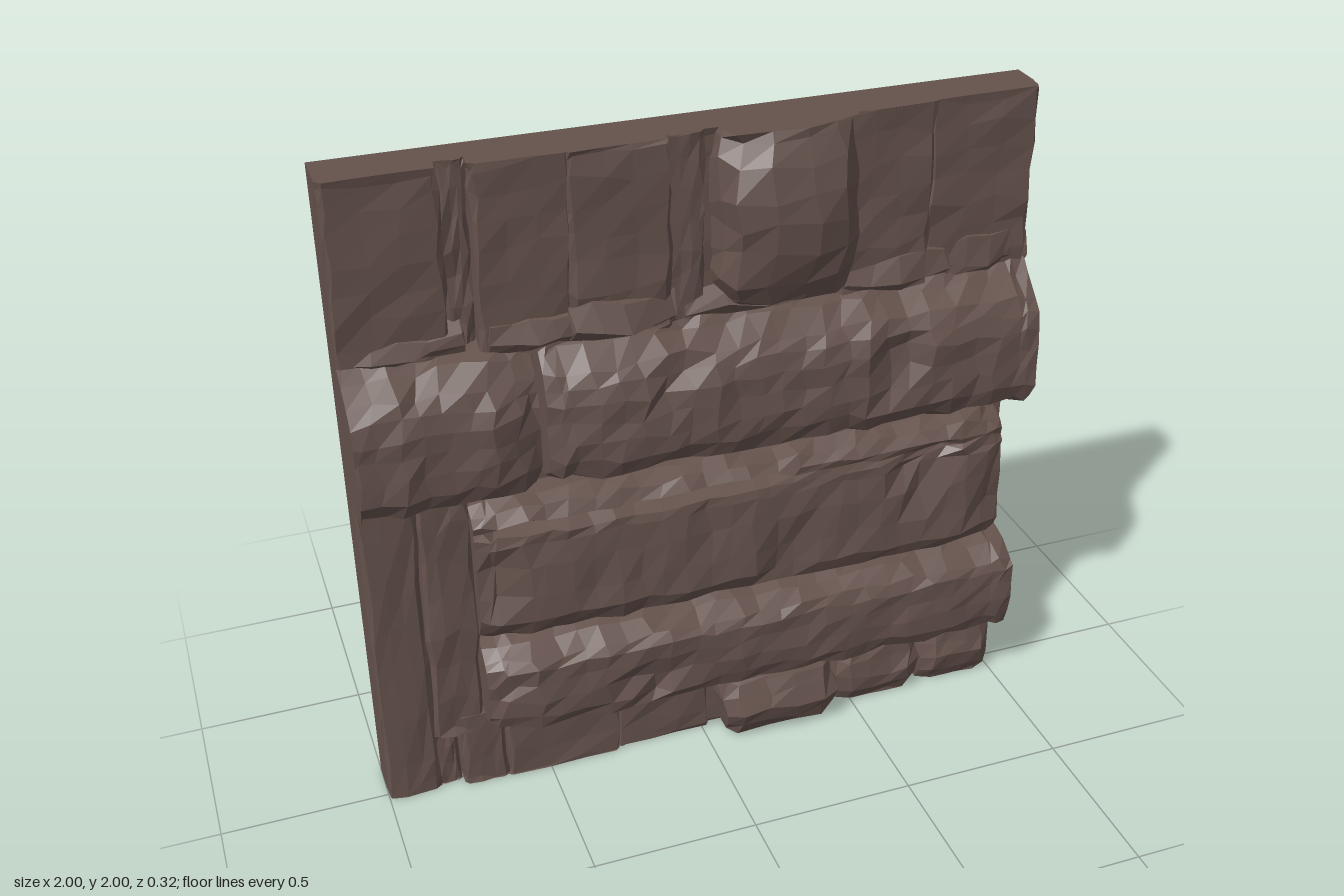
import * as THREE from 'three';

const wood = new THREE.MeshStandardMaterial({ color: 0x65524c });
wood.name = 'dark brown wood';
const BACK = -0.05; // depth at which every relief piece is rooted in the slab

function seeded(seed) {
  let s = seed * 7919 + 17;
  return () => ((s = (s * 16807) % 2147483647) / 2147483647) * 2 - 1;
}

// Faceted mesh from a list of triangles (each three Vector3)
function facetMesh(name, points) {
  const g = new THREE.BufferGeometry().setFromPoints(points);
  g.computeVertexNormals();
  const mesh = new THREE.Mesh(g, wood);
  mesh.name = name;
  return mesh;
}

// Rough-hewn timber: a cross-section [across, depth] swept along x or y, with
// worn ends, uneven surface and round dents [along, across, radius, depth].
function timber(name, axis, from, to, profile, o = {}) {
  const { n = 16, wearFrom = 0, wearTo = 0, rough = 0.01, seed = 1, dents = [], crack } = o;
  const rnd = seeded(seed);
  const mid = (profile[0][0] + profile[profile.length - 1][0]) / 2;
  const last = profile.length - 1;
  const stations = [0, 0.02, ...Array.from({ length: n - 1 }, (_, i) => (i + 1) / n), 0.98, 1];
  const rows = stations.map((t, i) => {
    const end = i === 0 || i === stations.length - 1;
    const wear = Math.max(wearFrom * Math.max(0, 1 - t * n * 0.6), wearTo * Math.max(0, 1 - (1 - t) * n * 0.6));
    const drift = rnd() * rough * 0.5;
    return profile.map(([v, z], j) => {
      let a = from + (to - from) * t + (end ? 0 : rnd() * 0.25 * Math.abs(to - from) / n);
      let across = mid + (v - mid) * (1 - wear * 0.12);
      let depth = z;
      if (j > 0 && j < last) {
        depth = z * (1 - wear * 0.55) + drift + rnd() * rough * 0.6;
        across += rnd() * rough;
        if (crack && j === crack.row && t > crack.start && t < crack.end) depth -= crack.depth;
        for (const [da, dv, r, d] of dents)
          if (Math.hypot(a - da, across - dv) < r) depth -= d;
      }
      a = THREE.MathUtils.clamp(a, Math.min(from, to), Math.max(from, to));
      depth = Math.min(depth, 0.162);
      return axis === 'x'
        ? new THREE.Vector3(THREE.MathUtils.clamp(a, -1, 1), across, depth)
        : new THREE.Vector3(THREE.MathUtils.clamp(across, -1, 1), a, depth);
    });
  });
  const pts = [];
  const tri = (a, b, c) => (axis === 'x' ? pts.push(a, b, c) : pts.push(a, c, b));
  for (let i = 0; i < rows.length - 1; i++)
    for (let j = 0; j < last; j++) {
      const [p, q, r, s] = [rows[i][j], rows[i + 1][j], rows[i + 1][j + 1], rows[i][j + 1]];
      tri(p, q, r);
      tri(p, r, s);
    }
  const first = rows[0], final = rows[rows.length - 1];
  for (let j = 1; j < last; j++) {
    tri(first[0], first[j], first[j + 1]);
    tri(final[0], final[j + 1], final[j]);
  }
  return facetMesh(name, pts);
}

// Cross-section with chamfered corners between two edges
function section(v0, v1, z, chamfer = 0.03, steps = 4) {
  const face = Array.from({ length: steps + 1 }, (_, i) => [
    v0 + chamfer + (v1 - v0 - 2 * chamfer) * (i / steps), z]);
  return [[v0, BACK], [v0, z - chamfer], ...face, [v1, z - chamfer], [v1, BACK]];
}

export function createModel() {
  const group = new THREE.Group();
  group.name = 'timberWallPanel';

  // Flat backing slab
  const slab = new THREE.Mesh(new THREE.BoxGeometry(2, 2, 0.09), wood);
  slab.name = 'backingSlab';
  slab.position.set(0, 1, -0.075);
  group.add(slab);

  // Bevelled raised plate on the back: push in the corners of a box
  const plateGeo = new THREE.BoxGeometry(1.61, 1.04, 0.05).toNonIndexed();
  const pos = plateGeo.attributes.position;
  for (let i = 0; i < pos.count; i++)
    if (pos.getZ(i) < 0) {
      pos.setX(i, pos.getX(i) > 0 ? 0.755 : -0.775);
      pos.setY(i, Math.sign(pos.getY(i)) * 0.49);
    }
  plateGeo.computeVertexNormals();
  const plate = new THREE.Mesh(plateGeo, wood);
  plate.name = 'backPlate';
  plate.position.set(0.165, 1, -0.135);
  group.add(plate);

  // Vertical boards: [left, right, bottom, top, depth]
  const boards = [
    [-1, -0.7, 1.44, 2, 0.02], [-0.7, -0.62, 1.44, 2, -0.015], [-0.62, -0.36, 1.44, 2, 0.03],
    [-0.37, -0.09, 1.44, 2, 0.04], [-0.1, 0.01, 1.44, 2, 0.025], [0, 0.44, 1.44, 2, 0],
    [0.4, 0.68, 1.44, 2, 0.03], [0.67, 1, 1.44, 2, 0.02],
    [-1, -0.84, 0, 1.06, 0.025], [-0.84, -0.69, 0.2, 1.06, 0.035], [-0.85, -0.77, 0, 0.22, 0.005],
    [-0.77, -0.63, 0, 0.26, 0.035], [-0.63, -0.27, 0, 0.25, 0.04], [-0.28, 0.02, 0, 0.25, 0.03],
    [0, 1, 0, 0.25, 0.01],
  ];
  boards.forEach(([l, r, b, t, z], i) => group.add(
    timber('verticalBoard' + (i + 1), 'y', b, t, section(l, r, z, 0.012, 3),
      { n: t - b > 0.4 ? 7 : 3, rough: 0.008, seed: 20 + i })));

  // Ragged splinters where the top boards meet the cross beams
  const splinters = [[-0.98, -0.66, 0.04], [-0.6, -0.36, 0.07], [-0.38, -0.08, 0.09], [-0.05, 0.42, 0.06], [0.42, 0.75, 0.06], [0.75, 1, 0.04]];
  splinters.forEach(([l, r, z], i) => group.add(
    timber('splinter' + (i + 1), 'x', l, r,
      [[1.45, BACK], [1.46, z * 0.6], [1.49, z], [1.53 + (i % 3) * 0.02, z * 0.6], [1.58, BACK]],
      { n: 4, wearFrom: 0.8, wearTo: 0.8, rough: 0.012, seed: 50 + i })));

  // Horizontal beams
  const upper = [[1.04, BACK], [1.05, 0.06], [1.075, 0.13], [1.13, 0.153], [1.19, 0.155], [1.25, 0.148],
    [1.31, 0.147], [1.36, 0.132], [1.4, 0.105], [1.45, 0.05], [1.48, 0.01], [1.49, BACK]];
  group.add(timber('upperLeftBeam', 'x', -1, -0.49, upper,
    { n: 8, wearTo: 0.6, rough: 0.012, seed: 3 }));
  group.add(timber('upperRightBeam', 'x', -0.47, 1, upper,
    { n: 22, wearFrom: 0.55, rough: 0.012, seed: 4, dents: [[0.55, 1.27, 0.08, 0.03], [-0.12, 1.35, 0.06, 0.02]] }));
  group.add(timber('middleBeam', 'x', -0.69, 0.96,
    [[0.53, BACK], [0.54, 0.05], [0.57, 0.1], [0.62, 0.122], [0.7, 0.116], [0.8, 0.108], [0.88, 0.102],
      [0.905, 0.1], [0.925, 0.09], [0.945, 0.094], [0.98, 0.07], [1.0, 0.02], [1.01, BACK]],
    { n: 24, wearFrom: 0.6, wearTo: 0.6, rough: 0.009, seed: 5,
      crack: { row: 8, start: 0.03, end: 0.55, depth: 0.05 },
      dents: [[0.7, 0.86, 0.09, 0.025], [-0.6, 0.75, 0.07, 0.025], [0.25, 0.65, 0.06, 0.02]] }));
  group.add(timber('lowerBeam', 'x', -0.69, 1,
    [[0.22, BACK], [0.225, 0.06], [0.245, 0.135], [0.29, 0.152], [0.35, 0.154], [0.41, 0.15], [0.46, 0.148],
      [0.49, 0.13], [0.52, 0.075], [0.54, 0.02], [0.55, BACK]],
    { n: 24, wearFrom: 0.6, rough: 0.01, seed: 6, dents: [[-0.2, 0.33, 0.07, 0.025]] }));

  // Chunky blocks standing proud of the boards
  const topBlock = [[0.02, BACK], [0.04, 0.06], [0.07, 0.125], [0.16, 0.15], [0.28, 0.152], [0.38, 0.13],
    [0.44, 0.07], [0.49, BACK]];
  group.add(timber('topBlock', 'y', 1.5, 2, topBlock,
    { n: 6, wearFrom: 0.9, wearTo: 0.75, rough: 0.014, seed: 8 }));
  const lowBlocks = [[0.05, 0.42, 0.155], [0.45, 0.73, 0.1], [0.74, 1, 0.085]];
  lowBlocks.forEach(([l, r, z], i) => group.add(
    timber('bottomBlock' + (i + 1), 'y', i ? 0 : 0.01, 0.21, section(l, r, z, 0.04, 3),
      { n: 4, wearFrom: 0.7, wearTo: 0.6, rough: 0.012, seed: 70 + i })));

  return group;
}
